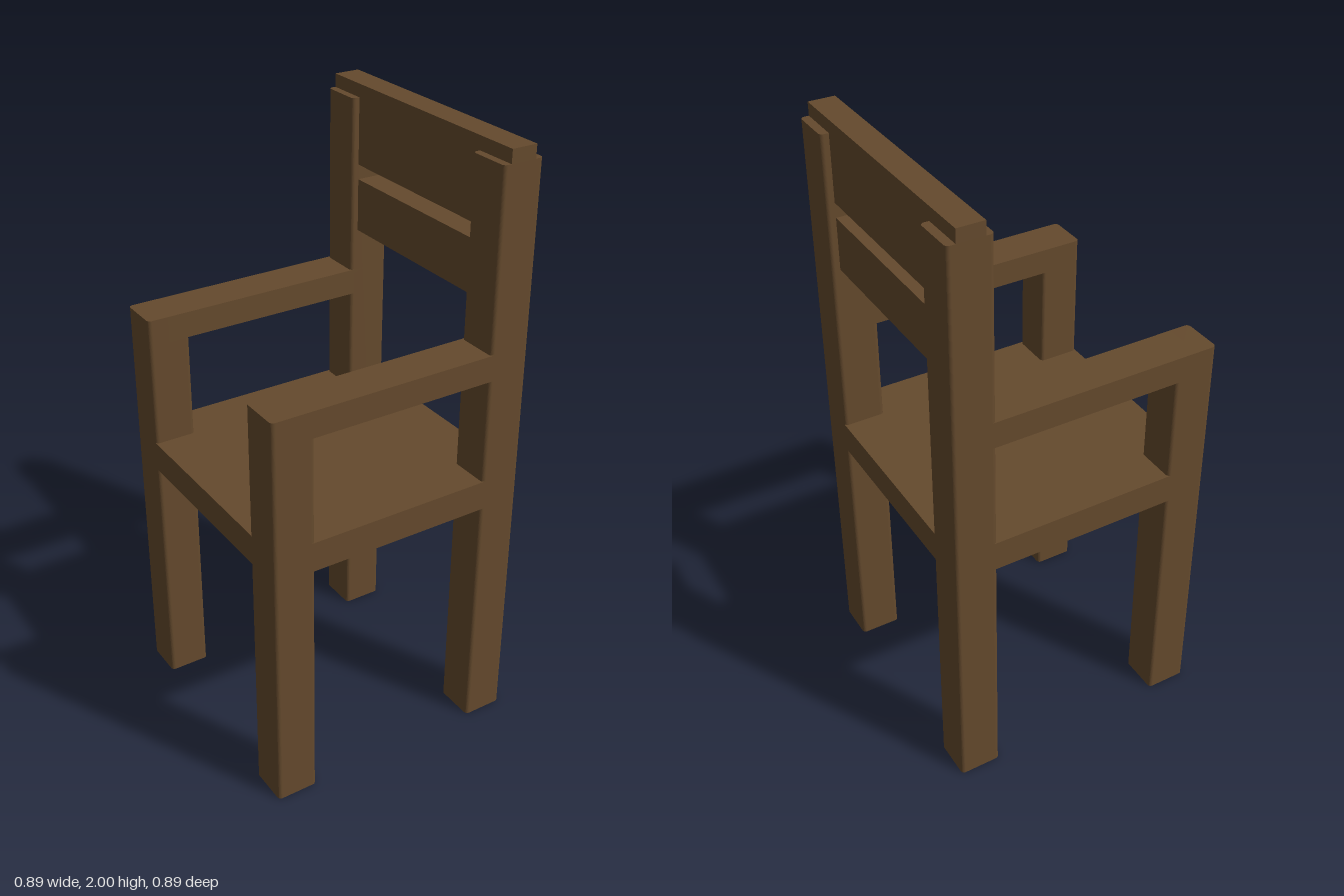
import * as THREE from 'three';

const wood = new THREE.MeshStandardMaterial({ color: 0x654a2d });
wood.name = 'brown wood';

const OUT = 0.443, IN = 0.304;      // outer and inner faces of the posts
const MID = (OUT + IN) / 2, POST = OUT - IN;

// Upright block with softly rounded vertical edges
function roundedBlock(name, w, d, y0, y1, x, z, r = 0.013) {
  const a = w / 2, b = d / 2, s = new THREE.Shape();
  s.absarc(a - r, b - r, r, 0, Math.PI / 2);
  s.absarc(-a + r, b - r, r, Math.PI / 2, Math.PI);
  s.absarc(-a + r, -b + r, r, Math.PI, Math.PI * 1.5);
  s.absarc(a - r, -b + r, r, Math.PI * 1.5, Math.PI * 2);
  const g = new THREE.ExtrudeGeometry(s, { depth: y1 - y0, bevelEnabled: false, curveSegments: 4 });
  g.rotateX(-Math.PI / 2);
  const m = new THREE.Mesh(g, wood);
  m.position.set(x, y0, z);
  m.name = name;
  return m;
}

// Plain board given by its limits
function board(name, x0, x1, y0, y1, z0, z1) {
  const m = new THREE.Mesh(new THREE.BoxGeometry(x1 - x0, y1 - y0, z1 - z0), wood);
  m.position.set((x0 + x1) / 2, (y0 + y1) / 2, (z0 + z1) / 2);
  m.name = name;
  return m;
}

export function createModel() {
  const chair = new THREE.Group();
  chair.name = 'armchair';

  // Posts and armrests, mirrored on both sides
  for (const [side, s] of [['left', 1], ['right', -1]]) {
    chair.add(roundedBlock(side + 'FrontPost', POST, POST, 0, 1.378, -MID, s * MID));
    chair.add(roundedBlock(side + 'BackPost', POST, POST, 0, 1.957, MID, s * MID));
    const z0 = s > 0 ? IN : -OUT;
    chair.add(board(side + 'Armrest', -MID, MID, 1.292, 1.378, z0, z0 + POST));
  }

  // Seat slab, flush with the posts
  chair.add(roundedBlock('seat', OUT * 2, OUT * 2, 0.842, 0.942, 0, 0));

  // Backrest: wide panel capping the posts, and a lower slat
  chair.add(board('backPanel', 0.329, 0.415, 1.739, 1.957, -MID, MID));
  chair.add(board('topRail', 0.329, 0.415, 1.957, 2, -OUT, OUT));
  chair.add(board('lowerSlat', 0.329, 0.415, 1.516, 1.69, -MID, MID));

  return chair;
}
